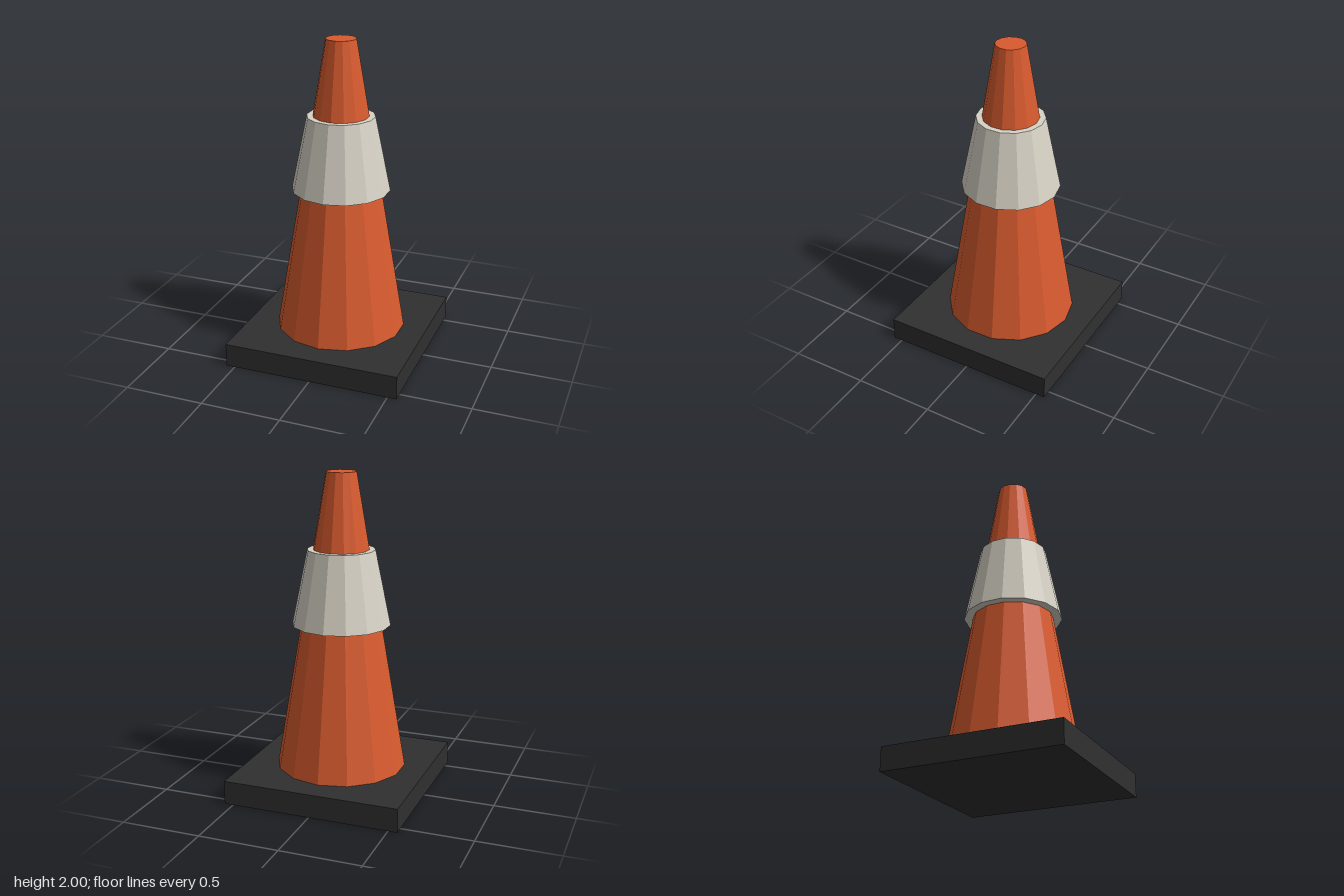
import * as THREE from 'three';

const SIDES = 14;
const BASE_HEIGHT = 0.148;

export function createModel() {
  const model = new THREE.Group();
  model.name = 'trafficCone';

  const material = (name, color) => {
    const m = new THREE.MeshStandardMaterial({ color, flatShading: true });
    m.name = name;
    return m;
  };
  const orange = material('orange', 0xd95b2f);
  const paleGrey = material('paleGrey', 0xd8d3c6);
  const black = material('black', 0x303030);

  const addPart = (name, geometry, mat, y) => {
    const mesh = new THREE.Mesh(geometry, mat);
    mesh.name = name;
    mesh.position.y = y;
    model.add(mesh);
  };
  // Tapered faceted section between two heights
  const addTaper = (name, rTop, rBottom, y0, y1, mat) =>
    addPart(name, new THREE.CylinderGeometry(rTop, rBottom, y1 - y0, SIDES), mat, (y0 + y1) / 2);

  // Square foot
  addPart('base', new THREE.BoxGeometry(1.114, BASE_HEIGHT, 1.114), black, BASE_HEIGHT / 2);
  // Cone body, standing on the foot
  addTaper('cone', 0.093, 0.407, BASE_HEIGHT, 2, orange);
  // Collar flaring out around the cone
  addTaper('reflectiveBand', 0.21, 0.306, 1.063, 1.53, paleGrey);

  return model;
}
